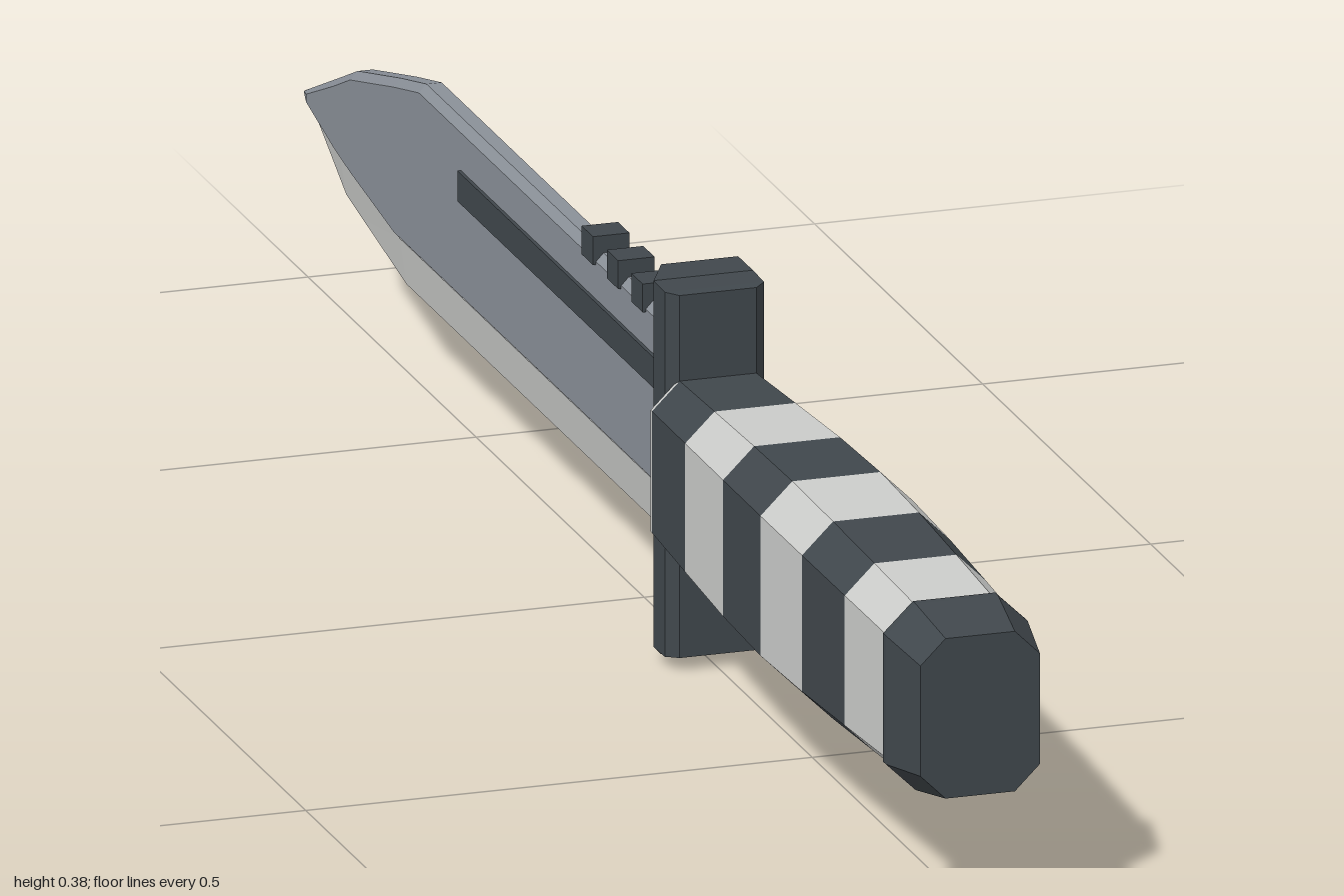
import * as THREE from 'three';

const dark = new THREE.MeshStandardMaterial({ color: 0x40474c });
dark.name = 'darkRubber';
const light = new THREE.MeshStandardMaterial({ color: 0xcbccca });
light.name = 'lightGrey';
const steel = new THREE.MeshStandardMaterial({ color: 0x8a9098 });
steel.name = 'bladeSteel';

// Faceted solid through convex cross-sections, listed from +z to -z, corners counter-clockwise seen from +z
function loft(name, sections, material) {
  const pos = [];
  const tri = (...pts) => pts.forEach((p) => pos.push(...p));
  const n = sections[0].length;
  for (let k = 0; k < sections.length - 1; k++) {
    for (let i = 0; i < n; i++) {
      const j = (i + 1) % n;
      const [a, b, c, d] = [sections[k][i], sections[k][j], sections[k + 1][j], sections[k + 1][i]];
      tri(a, d, c);
      tri(a, c, b);
    }
  }
  const last = sections[sections.length - 1];
  for (let i = 1; i < n - 1; i++) {
    tri(sections[0][0], sections[0][i], sections[0][i + 1]);
    tri(last[0], last[i + 1], last[i]);
  }
  const geo = new THREE.BufferGeometry();
  geo.setAttribute('position', new THREE.Float32BufferAttribute(pos, 3));
  geo.computeVertexNormals();
  const mesh = new THREE.Mesh(geo, material);
  mesh.name = name;
  return mesh;
}

// Mirror the right half of a section (bottom to top) onto the other side
const mirrored = (half, z) => [
  ...half.map(([x, y]) => [x, y, z]),
  ...half.slice().reverse().map(([x, y]) => [-x, y, z]),
];

// Upright octagon of the grip
const octagon = (z, hw, hh) => {
  const cx = hw * 0.58, cy = hh * 0.69;
  return mirrored([[cx, 0.2 - hh], [hw, 0.2 - cy], [hw, 0.2 + cy], [cx, 0.2 + hh]], z);
};

const rectangle = (z, hw, hh) => mirrored([[hw, 0.1925 - hh], [hw, 0.1925 + hh]], z);

function box(name, w, h, d, x, y, z, material) {
  const mesh = new THREE.Mesh(new THREE.BoxGeometry(w, h, d), material);
  mesh.position.set(x, y, z);
  mesh.name = name;
  return mesh;
}

export function createModel() {
  const model = new THREE.Group();
  model.name = 'knife';

  // Grip: alternating bands that swell towards the middle
  const rings = [[0.925, 0.88], [0.807, 0.93], [0.69, 0.975], [0.572, 1], [0.455, 0.975], [0.33, 0.92], [0.22, 0.87]];
  const grip = new THREE.Group();
  grip.name = 'grip';
  const ring = ([z, s]) => octagon(z, 0.075 * s, 0.1 * s);
  for (let i = 0; i < rings.length - 1; i++) {
    grip.add(loft('gripBand' + (i + 1), [ring(rings[i]), ring(rings[i + 1])], i % 2 ? dark : light));
  }
  grip.add(loft('gripEndPlate', [ring([0.22, 0.87]), ring([0.216, 0.87])], light));
  model.add(grip);

  // Pommel
  model.add(loft('pommel', [octagon(1, 0.059, 0.079), octagon(0.93, 0.07, 0.092), octagon(0.922, 0.07, 0.092)], dark));

  // Guard with bevelled upright edges
  model.add(loft('guard', [
    rectangle(0.22, 0.038, 0.179), rectangle(0.209, 0.049, 0.18),
    rectangle(0.176, 0.049, 0.181), rectangle(0.165, 0.038, 0.1925),
  ], dark));

  // Blade stations: z, spine height, ledge height, cutting edge height, half thickness
  const stations = [
    [0.18, 0.31, 0.133, 0.088, 0.015],
    [-0.625, 0.31, 0.133, 0.088, 0.015],
    [-0.7, 0.292, 0.133, 0.088, 0.015],
    [-0.83, 0.258, 0.151, 0.111, 0.015],
    [-0.88, 0.236, 0.159, 0.12, 0.0145],
    [-0.97, 0.197, 0.178, 0.168, 0.012],
    [-1, 0.185, 0.182, 0.18, 0.004],
  ];
  model.add(loft('bladeBody', stations.map(([z, top, ledge, , w]) => {
    const c = Math.min(0.008, (top - ledge) * 0.3);
    return mirrored([[w * 0.5, ledge], [w, ledge + c], [w, top - c], [w * 0.5, top]], z);
  }), steel));
  model.add(loft('cuttingEdge', stations.map(([z, , ledge, edge, w]) =>
    mirrored([[w * 0.15, edge], [w * 0.6, ledge + 0.001]], z)), light));

  // Dark groove strip on both faces
  for (const side of [1, -1]) {
    model.add(box(side > 0 ? 'leftGroove' : 'rightGroove', 0.006, 0.03, 0.59, side * 0.0155, 0.25, -0.205, dark));
  }

  // Teeth on the spine
  [0.033, -0.04, -0.115].forEach((z, i) => {
    model.add(box('spineTooth' + (i + 1), 0.036, 0.028, 0.034, 0, 0.313, z, dark));
  });

  return model;
}
